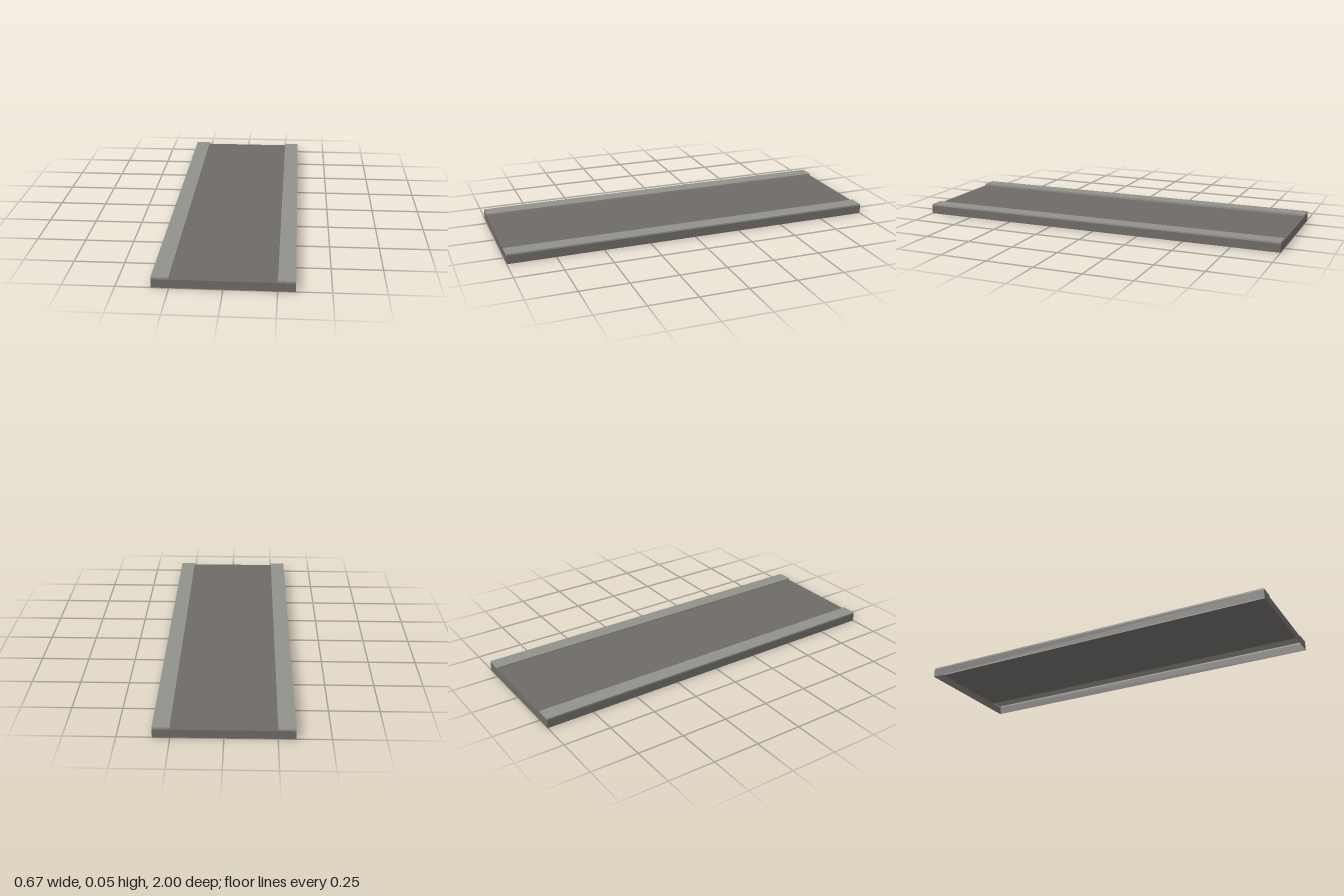
import * as THREE from 'three';

const HALF_W = 0.333, KERB_X = 0.25, ROAD_Y = 0.043, TOP_Y = 0.053, SEAM_Y = 0.045, LENGTH = 2;

export function createModel() {
  const model = new THREE.Group();
  model.name = 'roadSegment';

  const asphalt = new THREE.MeshStandardMaterial({ color: 0x6e6a68, side: THREE.DoubleSide });
  asphalt.name = 'asphalt';
  const pavement = new THREE.MeshStandardMaterial({ color: 0x91918b, side: THREE.DoubleSide });
  pavement.name = 'pavement';

  // A flat panel, turned about x or y and placed
  const panel = (name, material, w, h, position, rx = 0, ry = 0) => {
    const mesh = new THREE.Mesh(new THREE.PlaneGeometry(w, h), material);
    mesh.name = name;
    mesh.rotation.set(rx, ry, 0);
    mesh.position.set(...position);
    model.add(mesh);
  };

  // Road surface; the shell is open underneath
  panel('roadSurface', asphalt, KERB_X * 2, LENGTH, [0, ROAD_Y, 0], -Math.PI / 2);

  // End walls
  for (const s of [1, -1]) {
    panel('endWall', asphalt, HALF_W * 2, ROAD_Y, [0, ROAD_Y / 2, s * LENGTH / 2], 0, s > 0 ? 0 : Math.PI);
  }

  // Sidewalk, kerb and outer wall on each side
  const walkW = HALF_W - KERB_X, walkX = (HALF_W + KERB_X) / 2, step = TOP_Y - ROAD_Y;
  for (const s of [1, -1]) {
    const out = s * Math.PI / 2;
    panel('sidewalkTop', pavement, walkW, LENGTH, [s * walkX, TOP_Y, 0], -Math.PI / 2);
    panel('kerbFace', pavement, LENGTH, step, [s * KERB_X, ROAD_Y + step / 2, 0], 0, -out);
    panel('sideWall', asphalt, LENGTH, SEAM_Y, [s * HALF_W, SEAM_Y / 2, 0], 0, out);
    panel('sidewalkEdge', pavement, LENGTH, TOP_Y - SEAM_Y, [s * HALF_W, (TOP_Y + SEAM_Y) / 2, 0], 0, out);
    for (const e of [1, -1]) {
      panel('sidewalkEnd', pavement, walkW, step, [s * walkX, ROAD_Y + step / 2, e * LENGTH / 2], 0, e > 0 ? 0 : Math.PI);
    }
  }
  return model;
}
